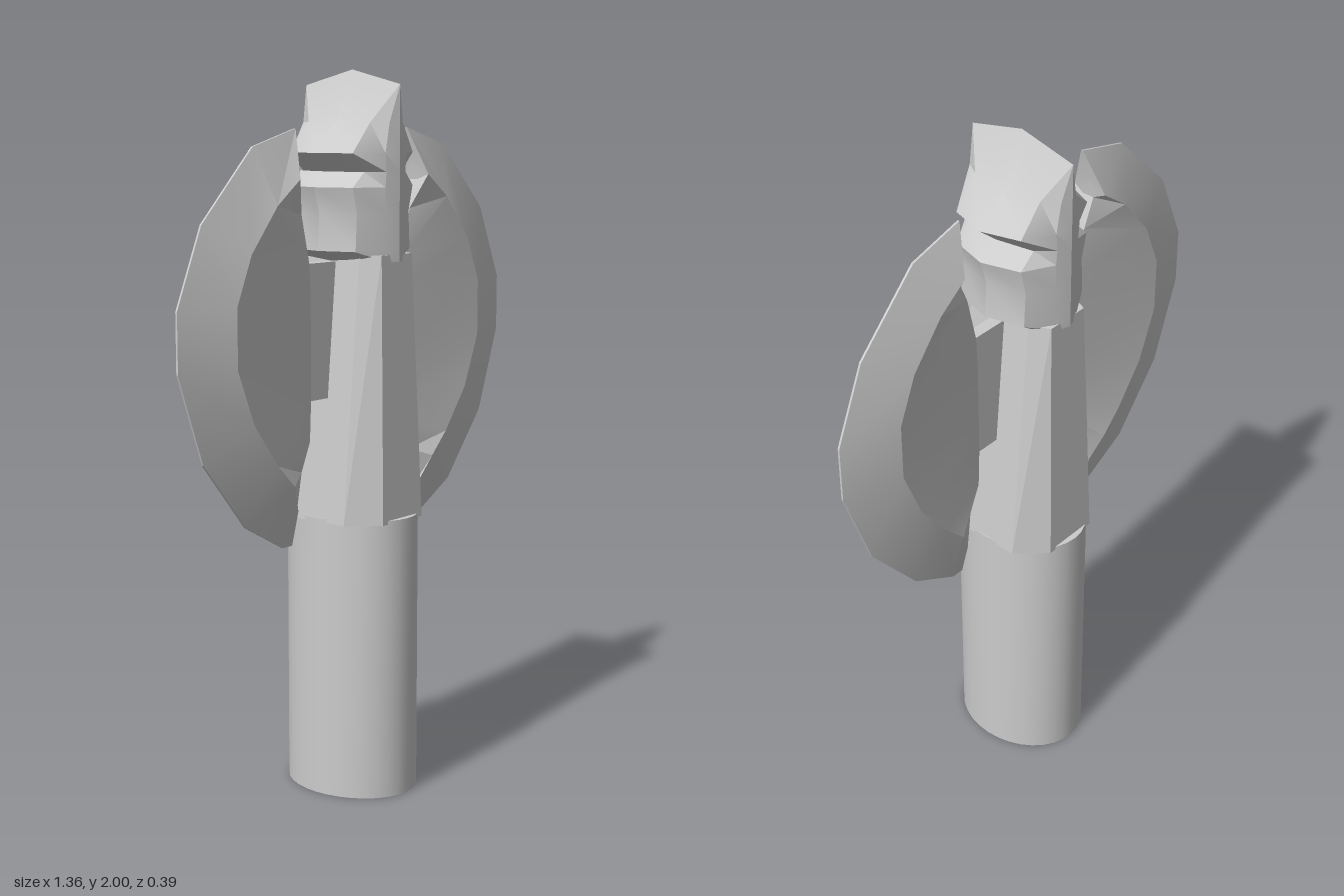
import * as THREE from 'three';
import { toCreasedNormals } from 'three/addons/utils/BufferGeometryUtils.js';

const material = new THREE.MeshStandardMaterial({ color: 0xcccccc });

function part(name, geometry) {
  const mesh = new THREE.Mesh(geometry, material);
  mesh.name = name;
  return mesh;
}

// Skin a list of closed rings of [x, y, z], cap both ends, face outwards.
function loft(rings, crease = 0.5) {
  const n = rings[0].length;
  const points = rings.flat().map((p) => new THREE.Vector3(...p));
  let faces = [];
  for (let r = 0; r < rings.length - 1; r++) {
    for (let i = 0; i < n; i++) {
      const a = r * n + i, b = r * n + (i + 1) % n;
      faces.push([a, b, b + n], [a, b + n, a + n]);
    }
  }
  for (const [r, flip] of [[0, true], [rings.length - 1, false]]) {
    const centre = new THREE.Vector3();
    for (let i = 0; i < n; i++) centre.addScaledVector(points[r * n + i], 1 / n);
    const c = points.push(centre) - 1;
    for (let i = 0; i < n; i++) {
      const a = r * n + i, b = r * n + (i + 1) % n;
      faces.push(flip ? [c, b, a] : [c, a, b]);
    }
  }
  const cross = new THREE.Vector3();
  let volume = 0;
  for (const [a, b, c] of faces) volume += points[a].dot(cross.crossVectors(points[b], points[c]));
  if (volume < 0) faces = faces.map(([a, b, c]) => [a, c, b]);
  // leave out collapsed triangles
  faces = faces.filter(([a, b, c]) =>
    new THREE.Triangle(points[a], points[b], points[c]).getArea() > 1e-7);
  const geometry = new THREE.BufferGeometry().setFromPoints(points);
  geometry.setIndex(faces.flat());
  return toCreasedNormals(geometry, crease);
}

// Mirror a quarter section, listed from the front to the +x side, into a ring.
function fullRing(quarter) {
  const front = quarter;
  const back = [...quarter].reverse().map(([x, y, z]) => [x, y, -z]);
  const half = [...front, ...back];
  return [...half, ...[...half].reverse().map(([x, y, z]) => [-x, y, z])];
}

function createHandle() {
  const g = new THREE.CylinderGeometry(1, 1, 0.79, 32);
  g.scale(0.16, 1, 0.197);
  g.translate(0, 0.395, 0);
  return part('handle', toCreasedNormals(g, 0.6));
}

// Tapering eight-sided neck
function createNeck() {
  return part('neck', loft([
    fullRing([[0.085, 0.78, 0.18], [0.157, 0.78, 0.1]]),
    fullRing([[0.065, 1.51, 0.156], [0.09, 1.51, 0.1]]),
  ], 0.3));
}

// Pointed, notched cap with a ridge running front to back
function createHead() {
  const profile = [[0.07, 1.86], [0.16, 1.78], [0.1, 1.73], [0.16, 1.69],
    [0.138, 1.62], [0.145, 1.52], [0.09, 1.49]];
  const peak = fullRing([[0, 1.96, 0.165], [0, 1.96, 0.165], [0, 1.96, 0.165], [0, 2, 0]]);
  const rings = profile.map(([x, y]) => fullRing([
    [0, y, 0.165],
    [Math.min(0.045, x * 0.4), y, 0.152],
    [x * 0.8, y, 0.108],
    [x, y, 0],
  ]));
  return part('head', loft([peak, ...rings], 0.45));
}

// Crescent blade: sharp outer edge, thick ridge, thin inner edge
function createBlade(side) {
  const edge = [[0.235, 1.845], [0.4, 1.8], [0.59, 1.61], [0.68, 1.4], [0.68, 1.24],
    [0.595, 1], [0.44, 0.81], [0.295, 0.73], [0.258, 0.73]];
  const ridge = [[0.272, 1.715], [0.36, 1.65], [0.46, 1.53], [0.515, 1.4], [0.515, 1.24],
    [0.455, 1.09], [0.365, 0.97], [0.3, 0.905], [0.262, 0.83]];
  const inner = [[0.265, 1.7], [0.23, 1.62], [0.2, 1.49], [0.195, 1.4], [0.195, 1.24],
    [0.195, 1.12], [0.2, 1.01], [0.235, 0.93], [0.256, 0.82]];
  const rings = edge.map((e, i) => {
    const thick = i === edge.length - 1 ? 0.03 : 0.052;
    const front = [[e, 0.003], [ridge[i], thick], [inner[i], 0.018]]
      .map(([p, z]) => [p[0] * side, p[1], z]);
    return [...front, ...[...front].reverse().map(([x, y, z]) => [x, y, -z])];
  });
  return part('blade', loft(rings, 0.25));
}

// Flat plate joining a blade to the neck
function createBracket(side) {
  const g = new THREE.BoxGeometry(0.15, 0.37, 0.036);
  g.translate(side * 0.125, 1.305, 0);
  return part('bladeBracket', g);
}

export function createModel() {
  const model = new THREE.Group();
  model.name = 'doubleAxe';
  model.add(createHandle(), createNeck(), createHead());
  for (const side of [1, -1]) {
    const group = new THREE.Group();
    group.name = side > 0 ? 'leftBlade' : 'rightBlade';
    group.add(createBlade(side), createBracket(side));
    model.add(group);
  }
  return model;
}
